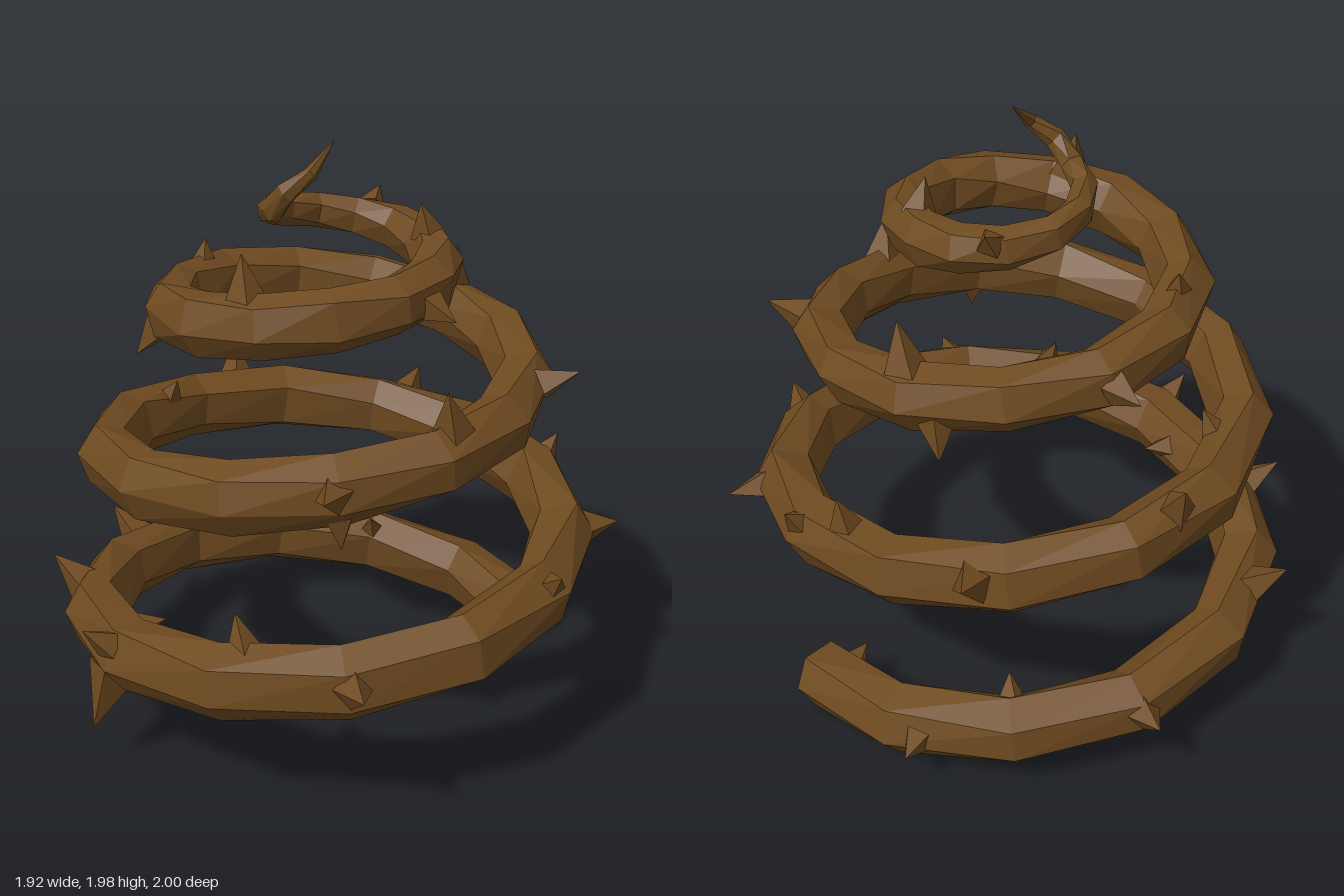
import * as THREE from 'three';

const bark = new THREE.MeshStandardMaterial({ color: 0x6e4a20, flatShading: true });
bark.name = 'brown bark';

// Spiral every quarter turn: distance from axis, height, vine thickness
const spiral = [
  [0.78, 0.105, 0.12], [0.81, 0.25, 0.12], [0.82, 0.41, 0.12], [0.795, 0.56, 0.12],
  [0.762, 0.70, 0.118], [0.762, 0.84, 0.115], [0.75, 0.98, 0.113], [0.65, 1.125, 0.11],
  [0.608, 1.25, 0.107], [0.595, 1.375, 0.104], [0.52, 1.465, 0.103], [0.41, 1.565, 0.1],
  [0.32, 1.63, 0.088], [0.283, 1.70, 0.062], [0.193, 1.785, 0.042],
];

// Thorn tips
const tips = [
  [-0.17, 0.32, -1.0], [0.96, 0.69, 0.1], [-0.02, 0.6, 1.0], [-0.96, 0.56, -0.11],
  [0.42, 0.91, -0.86], [0.59, 0.2, -0.77], [0.68, 0.96, -0.38], [-0.29, 1.07, -0.8],
  [-0.77, 0.5, -0.6], [-0.83, 0.18, 0.4], [-0.84, 0.59, 0.48], [-0.37, 0.72, 0.64],
  [0.64, 0.76, 0.61], [-0.58, 0.47, 0.22], [-0.05, 0.93, 0.67], [-0.12, 1.16, 0.84],
  [0.27, 1.39, 0.6], [0.75, 1.31, 0.27], [0.46, 1.54, -0.35], [-0.15, 1.38, -0.76],
  [0.4, 1.17, -0.57], [0.83, 0.86, -0.28], [-0.64, 1.31, -0.03], [-0.31, 1.74, 0.3],
  [0.27, 1.8, 0.02], [0.32, 1.54, 0.42], [0.18, 1.75, -0.33], [-0.4, 1.57, -0.4],
  [-0.54, 1.0, -0.43], [0.21, 0.36, -0.65], [0.6, 0.18, -0.22],
];

let seed = 7;
const rand = () => (seed = (seed * 16807) % 2147483647) / 2147483647;

// Centreline with thickness, finished by the curled tip
function vinePath() {
  const curve = new THREE.CatmullRomCurve3(
    spiral.map(p => new THREE.Vector3(...p)), false, 'catmullrom');
  const turns = (spiral.length - 1) * 90, path = [];
  const steps = 45;
  for (let i = 0; i <= steps; i++) {
    const deg = THREE.MathUtils.lerp(18, turns, i / steps);
    const s = curve.getPoint(deg / turns), a = THREE.MathUtils.degToRad(deg);
    path.push({ p: new THREE.Vector3(s.x * Math.cos(a), s.y, -s.x * Math.sin(a)), r: s.z });
  }
  path.push({ p: new THREE.Vector3(-0.155, 1.855, 0.055), r: 0.034 });
  path.push({ p: new THREE.Vector3(-0.08, 1.915, 0.07), r: 0.022 });
  path.push({ p: new THREE.Vector3(0, 2, 0), r: 0.001 });
  return path;
}

// Six-sided, slowly twisting vine, a little taller than wide
function vineGeometry(path) {
  const sides = 6, narrow = 0.88;
  const rings = path.map(({ p, r }, i) => {
    const T = path[Math.min(i + 1, path.length - 1)].p.clone()
      .sub(path[Math.max(i - 1, 0)].p).normalize();
    const B = new THREE.Vector3(0, 1, 0).addScaledVector(T, -T.y).normalize();
    const N = new THREE.Vector3().crossVectors(B, T);
    return Array.from({ length: sides }, (_, j) => {
      const a = j / sides * Math.PI * 2 + i * 0.16 + (rand() - 0.5) * 0.25;
      const k = r * (0.97 + rand() * 0.1);
      return p.clone().addScaledVector(N, Math.cos(a) * k * narrow)
        .addScaledVector(B, Math.sin(a) * k);
    });
  });
  const pos = [];
  const tri = (...pts) => pts.forEach(v => pos.push(v.x, Math.max(v.y, 0), v.z));
  for (let j = 0; j < sides; j++) {
    const n = (j + 1) % sides;
    tri(path[0].p, rings[0][n], rings[0][j]); // cut end
    for (let i = 0; i < rings.length - 1; i++) {
      const [a, b, c, d] = [rings[i][j], rings[i][n], rings[i + 1][j], rings[i + 1][n]];
      tri(a, b, c);
      tri(b, d, c);
    }
  }
  const g = new THREE.BufferGeometry();
  g.setAttribute('position', new THREE.Float32BufferAttribute(pos, 3));
  g.computeVertexNormals();
  return g;
}

// Four-sided thorn from the nearest stretch of vine to its tip
function makeThorn(tip, path) {
  let best = null, bestD = Infinity;
  for (let i = 0; i < path.length - 4; i++) {
    for (let t = 0; t < 1; t += 0.25) {
      const p = path[i].p.clone().lerp(path[i + 1].p, t), d = p.distanceTo(tip);
      if (d < bestD) { bestD = d; best = { p, r: path[i].r }; }
    }
  }
  const dir = tip.clone().sub(best.p).normalize();
  const start = best.r * 0.68, end = Math.max(bestD, best.r + 0.06);
  const g = new THREE.ConeGeometry(0.3 * (end - start) + 0.023, end - start, 4);
  const thorn = new THREE.Mesh(g, bark);
  thorn.name = 'thorn';
  thorn.quaternion.setFromUnitVectors(new THREE.Vector3(0, 1, 0), dir);
  thorn.position.copy(best.p).addScaledVector(dir, (start + end) / 2);
  return thorn;
}

export function createModel() {
  const model = new THREE.Group();
  model.name = 'thorny spiral vine';
  const path = vinePath();
  const vine = new THREE.Mesh(vineGeometry(path), bark);
  vine.name = 'vine';
  const thorns = new THREE.Group();
  thorns.name = 'thorns';
  tips.forEach(t => thorns.add(makeThorn(new THREE.Vector3(...t), path)));
  model.add(vine, thorns);
  return model;
}
